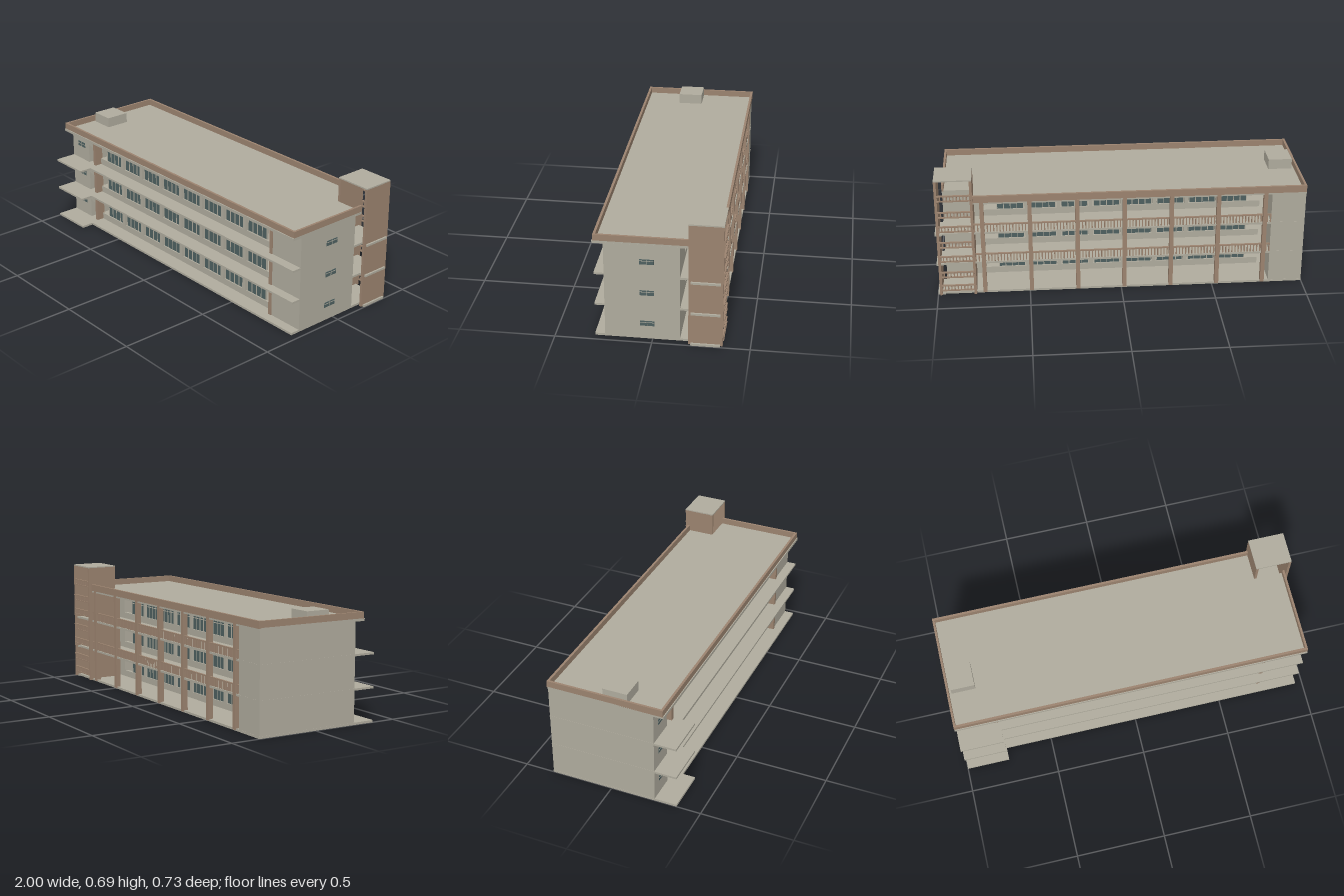
import * as THREE from 'three';
import { mergeGeometries } from 'three/addons/utils/BufferGeometryUtils.js';

const material = (name, color) => {
  const m = new THREE.MeshStandardMaterial({ color });
  m.name = name;
  return m;
};

// Box given by its min and max on each axis
function box(x0, x1, y0, y1, z0, z1) {
  const g = new THREE.BoxGeometry(x1 - x0, y1 - y0, z1 - z0);
  return g.translate((x0 + x1) / 2, (y0 + y1) / 2, (z0 + z1) / 2);
}

export function createModel() {
  const model = new THREE.Group();
  const concrete = material('concrete', 0xafab9d);
  const brown = material('brown cladding', 0x9b836f);
  const glass = material('dark glass', 0x4e6060);

  const add = (name, mat, boxes) => {
    const mesh = new THREE.Mesh(mergeGeometries(boxes), mat);
    mesh.name = name;
    model.add(mesh);
  };

  const floors = [0.012, 0.19, 0.368];      // top of each floor slab
  const ceilings = [0.18, 0.358, 0.535];    // underside of the slab above
  const towerL = 0.79, towerR = 0.99, towerF = -0.185, towerB = -0.36;

  // Floor slabs with the front balcony and the stair tower floors
  const slabs = [];
  floors.forEach((top, i) => {
    const y0 = i ? top - 0.011 : 0;
    slabs.push(box(-1, 0.96, y0, top, -0.34, 0.297));
    slabs.push(box(-1, -0.76, y0, top, 0.297, 0.367));
    slabs.push(box(0.96, 1, y0, top, -0.347, -0.197));
  });
  add('floorSlabs', concrete, slabs);

  // Roof slab, cut out around the tower
  add('roof', concrete, [
    box(-1, 0.96, 0.535, 0.549, towerF, 0.302),
    box(-1, towerL, 0.535, 0.549, -0.342, towerF),
  ]);
  add('parapet', brown, [
    box(-1, 0.96, 0.545, 0.583, 0.284, 0.297),
    box(-1, towerL, 0.545, 0.583, -0.345, -0.332),
    box(-1, -0.988, 0.545, 0.583, -0.332, 0.284),
    box(0.948, 0.96, 0.545, 0.583, towerF, 0.284),
  ]);
  add('roofHatch', concrete, [box(-0.975, -0.845, 0.549, 0.606, -0.043, 0.093)]);

  // Solid end blocks
  add('leftBlock', concrete, [
    box(-0.999, -0.84, 0.005, 0.54, -0.339, 0.245),
    box(-0.84, -0.815, 0.005, 0.54, -0.339, -0.1),
  ]);
  add('rightBlock', concrete, [box(0.755, 0.9605, 0.005, 0.54, -0.14, 0.245)]);

  // Classroom walls: sill, lintel, pillars and glazing, on front and corridor side
  const count = 8, pitch = 0.1765, first = -0.64, half = 0.072;
  const walls = [], panes = [], frames = [];
  for (const z of [0.2, -0.13]) {
    floors.forEach((y, i) => {
      const sill = y + 0.036, head = y + 0.132;
      walls.push(box(-0.785, 0.755, y, sill, z - 0.01, z + 0.01));
      walls.push(box(-0.785, 0.755, head, ceilings[i], z - 0.01, z + 0.01));
      for (let k = 0; k < count; k++) {
        const x = first + k * pitch;
        panes.push(box(x - half, x + half, sill, head, z - 0.003, z + 0.003));
        for (let j = 0; j <= 4; j++) {
          const fx = x - half + j * half / 2;
          frames.push(box(fx - 0.0018, fx + 0.0018, sill, head, z - 0.006, z + 0.006));
        }
        const bar = head - 0.032;
        frames.push(box(x - half, x + half, bar - 0.0018, bar + 0.0018, z - 0.006, z + 0.006));
      }
      for (let k = 0; k < count - 1; k++) {
        const x = first + (k + 0.5) * pitch;
        walls.push(box(x - 0.011, x + 0.011, sill, head, z - 0.012, z + 0.018));
      }
    });
  }
  add('classroomWalls', concrete, walls);
  add('classroomGlass', glass, panes);
  add('classroomFrames', concrete, frames);

  // Small windows in the end blocks
  const smallGlass = [], smallFrames = [];
  floors.forEach((y) => {
    for (const x of [-0.945, -0.908]) {
      smallGlass.push(box(x, x + 0.03, y + 0.078, y + 0.108, 0.243, 0.247));
      smallFrames.push(box(x, x + 0.03, y + 0.095, y + 0.097, 0.243, 0.249));
    }
    smallGlass.push(box(0.958, 0.963, y + 0.064, y + 0.092, -0.009, 0.065));
    smallFrames.push(box(0.958, 0.965, y + 0.083, y + 0.085, -0.009, 0.065));
    smallFrames.push(box(0.958, 0.965, y + 0.064, y + 0.092, 0.027, 0.029));
  });
  add('smallWindowGlass', glass, smallGlass);
  add('smallWindowFrames', concrete, smallFrames);

  // Brown columns: a pair in front, a row along the open corridor
  const columns = [-0.78, 0.745].map((x) => box(x - 0.01, x + 0.01, 0.005, 0.54, 0.2, 0.25));
  const bay = (0.745 + 0.78) / 6;
  for (let i = 0; i <= 6; i++) {
    const x = -0.78 + i * bay;
    columns.push(box(x - 0.011, x + 0.011, 0.005, 0.545, -0.346, -0.318));
  }
  add('columns', brown, columns);

  // Railing with evenly spaced balusters, along x
  function railing(x0, x1, y0, y1, z, gap) {
    const parts = [box(x0, x1, y1 - 0.007, y1, z - 0.005, z + 0.005)];
    const n = Math.round((x1 - x0) / gap);
    for (let i = 0; i <= n; i++) {
      const x = x0 + 0.003 + (x1 - x0 - 0.006) * i / n;
      parts.push(box(x - 0.003, x + 0.003, y0, y1 - 0.005, z - 0.003, z + 0.003));
    }
    return parts;
  }
  const rails = [];
  for (const y of floors.slice(1)) rails.push(...railing(-0.815, towerL, y, y + 0.048, -0.333, 0.017));
  add('corridorRailings', brown, rails);

  // Stair flights rising to the front beside the left block
  const steps = [];
  floors.forEach((y, f) => {
    for (let i = 0; i < 8; i++) {
      const top = ceilings[f] - i * 0.0105, z1 = 0.284 - i * 0.0095;
      steps.push(box(-0.86, -0.79, top - 0.012, top, z1 - 0.014, z1));
    }
    const landing = ceilings[f] - 0.084;
    steps.push(box(-0.86, -0.79, landing - 0.01, landing, 0.13, 0.21));
  });
  add('stairFlights', concrete, steps);

  // Stair tower: two side panels, roof cap and screens on the open back
  add('towerPanels', brown, [
    box(towerL, towerL + 0.014, 0.003, 0.68, towerB, towerF),
    box(towerR - 0.014, towerR, 0.003, 0.68, towerB, towerF),
  ]);
  add('towerRoof', concrete, [box(towerL, towerR, 0.679, 0.686, towerB, towerF + 0.001)]);
  const screens = [];
  for (const y of [0.03, 0.11, 0.206, 0.291, 0.385, 0.47, 0.565]) {
    screens.push(...railing(towerL + 0.01, towerR - 0.01, y, y + 0.036, -0.361, 0.018));
    screens.push(box(towerL + 0.01, towerR - 0.01, y, y + 0.006, -0.366, -0.356));
  }
  add('towerScreens', brown, screens);

  return model;
}
